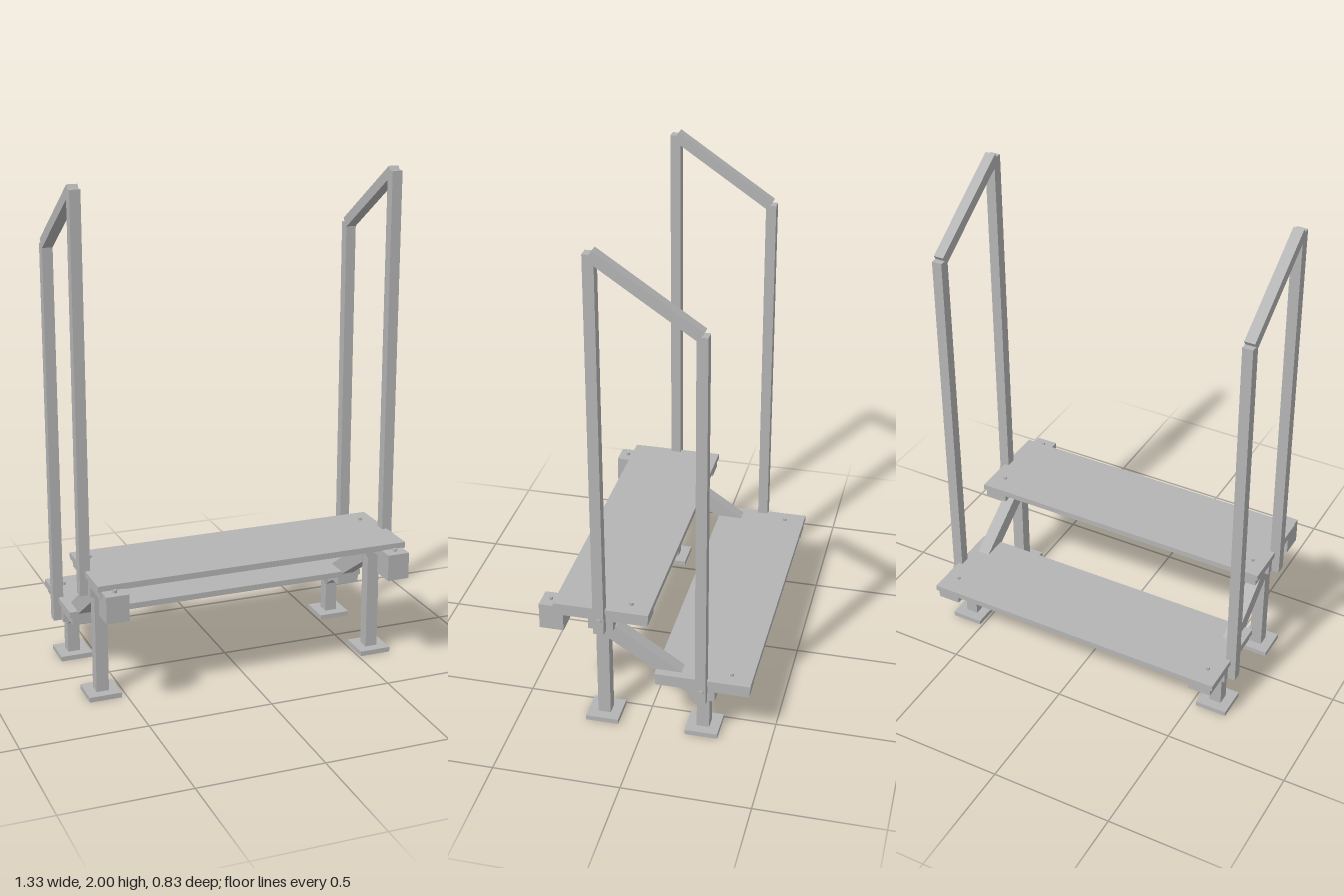
import * as THREE from 'three';

const CX = -0.006; // mirror plane of the two sides

export function createModel() {
  const group = new THREE.Group();
  group.name = 'stepPlatform';
  const steel = new THREE.MeshStandardMaterial({ color: 0xb4b4b4 });
  steel.name = 'grey steel';

  const add = (name, geometry) => {
    const mesh = new THREE.Mesh(geometry, steel);
    mesh.name = name;
    group.add(mesh);
    return mesh;
  };
  // Box given by its limits along each axis
  const box = (name, x0, x1, y0, y1, z0, z1) =>
    add(name, new THREE.BoxGeometry(x1 - x0, y1 - y0, z1 - z0))
      .position.set((x0 + x1) / 2, (y0 + y1) / 2, (z0 + z1) / 2);
  // Side profile of [z, y] points, extruded along x
  const profile = (name, points, x0, x1) => {
    const shape = new THREE.Shape(points.map(([z, y]) => new THREE.Vector2(-z, y)));
    const g = new THREE.ExtrudeGeometry(shape, { depth: x1 - x0, bevelEnabled: false });
    g.rotateY(Math.PI / 2);
    add(name, g).position.x = x0;
  };

  // Treads
  box('upperTread', CX - 0.639, CX + 0.639, 0.505, 0.529, -0.02, 0.355);
  box('lowerTread', CX - 0.639, CX + 0.639, 0.24, 0.264, -0.418, -0.042);

  for (const s of [-1, 1]) {
    const side = s > 0 ? 'left' : 'right';
    // Box given by distances out from the mirror plane
    const sideBox = (name, a, b, ...rest) => {
      const x = [CX + s * a, CX + s * b].sort((p, q) => p - q);
      box(side + name, ...x, ...rest);
    };
    const sideProfile = (name, points, a, b) => {
      const x = [CX + s * a, CX + s * b].sort((p, q) => p - q);
      profile(side + name, points, ...x);
    };

    // Legs, feet, cross brackets and tread bearers
    for (const [label, z, top, z0, z1] of [
      ['Front', 0.17, 0.43, -0.015, 0.355],
      ['Back', -0.228, 0.165, -0.413, -0.042],
    ]) {
      sideBox(label + 'Foot', 0.516, 0.646, 0, 0.02, z - 0.065, z + 0.065);
      sideBox(label + 'Leg', 0.556, 0.606, 0.02, top, z - 0.025, z + 0.025);
      sideBox(label + 'Bracket', 0.536, 0.629, top, top + 0.045, z - 0.05, z + 0.05);
      sideBox(label + 'Bearer', 0.536, 0.629, top + 0.043, top + 0.075, z0, z1);
    }

    // Sloping stringer between the legs
    sideProfile('Stringer', [[0.145, 0.435], [0.115, 0.437], [-0.205, 0.222], [-0.205, 0.145], [0.145, 0.378]], 0.554, 0.606);

    // Bumper block at the front
    sideBox('BumperBlock', 0.536, 0.626, 0.4, 0.507, 0.32, 0.416);

    // Handrail posts and sloping top rail
    sideBox('FrontPost', 0.619, 0.661, 0.43, 1.985, 0.149, 0.191);
    sideBox('BackPost', 0.619, 0.661, 0.165, 1.72, -0.249, -0.207);
    sideProfile('TopRail', [[0.156, 2], [-0.235, 1.737], [-0.212, 1.702], [0.179, 1.965]], 0.619, 0.661);

    // Small bolts on the treads and bumper
    for (const [z, y] of [[0.38, 0.512], [0.06, 0.534], [-0.335, 0.269]]) {
      const bolt = add(side + 'Bolt', new THREE.CylinderGeometry(0.008, 0.008, 0.012, 8));
      bolt.position.set(CX + s * 0.581, y, z);
    }
  }

  // Side bolts through the left posts
  for (const [z, y] of [[0.166, 0.49], [-0.232, 0.225]]) {
    const bolt = add('postBolt', new THREE.CylinderGeometry(0.01, 0.01, 0.01, 8));
    bolt.rotation.z = Math.PI / 2;
    bolt.position.set(0.66, y, z);
  }
  return group;
}
